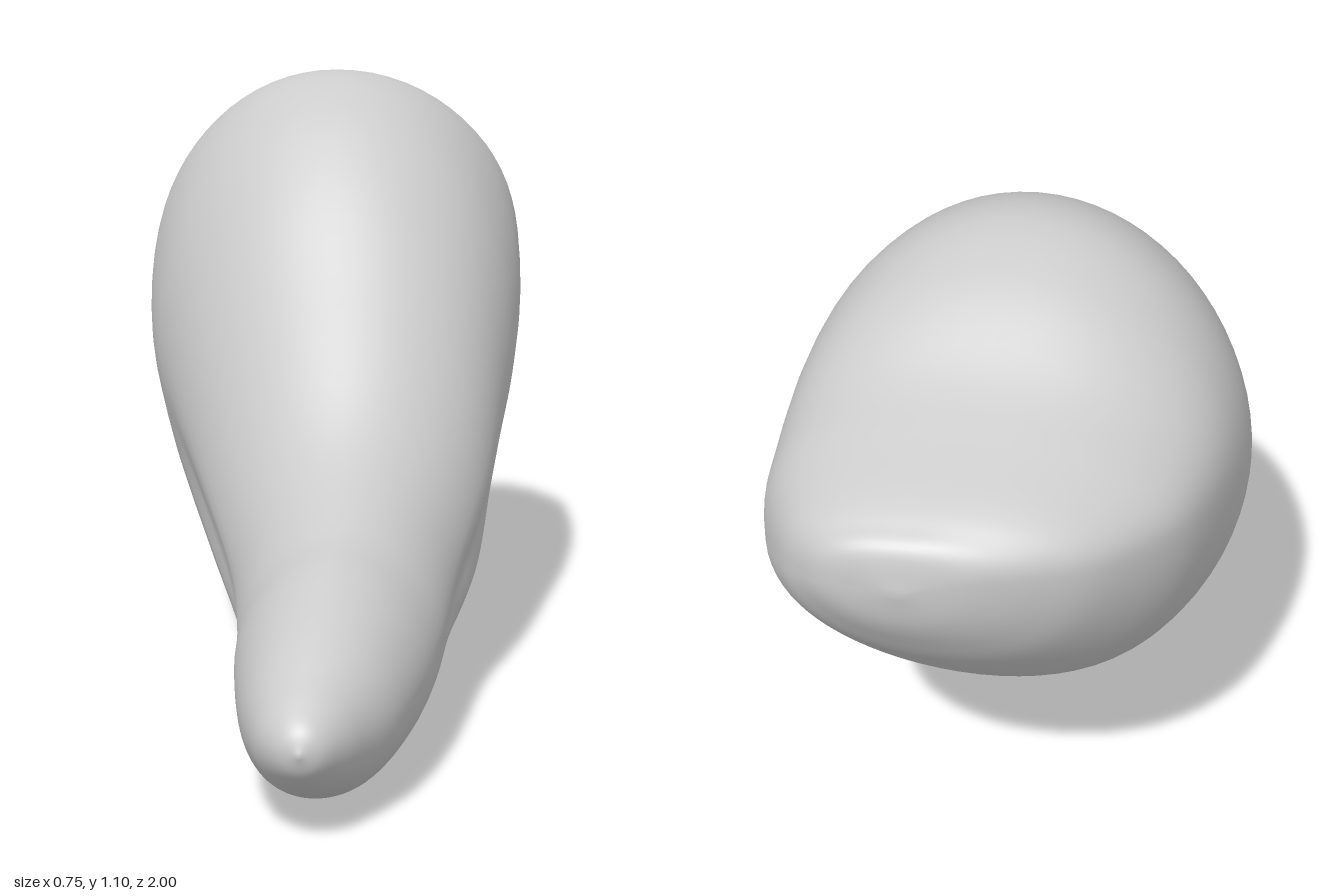
import * as THREE from 'three';
import { mergeVertices } from 'three/addons/utils/BufferGeometryUtils.js';

// Cross-section stations along the body: [z, yBottom, yTop, xMin, xMax]
const STATIONS = [
  [1.0, 0.15, 0.15, 0.065, 0.065],
  [0.985, 0.115, 0.185, 0.03, 0.1],
  [0.95, 0.085, 0.212, 0.0, 0.128],
  [0.9, 0.055, 0.24, -0.022, 0.155],
  [0.8, 0.02, 0.29, -0.05, 0.2],
  [0.65, 0.003, 0.343, -0.075, 0.235],
  [0.5, 0.0, 0.383, -0.09, 0.255],
  [0.3, 0.005, 0.485, -0.13, 0.275],
  [0.1, 0.035, 0.69, -0.21, 0.32],
  [-0.1, 0.085, 0.92, -0.295, 0.345],
  [-0.25, 0.14, 1.05, -0.35, 0.362],
  [-0.4, 0.205, 1.103, -0.375, 0.37],
  [-0.55, 0.29, 1.07, -0.365, 0.367],
  [-0.7, 0.395, 0.985, -0.33, 0.36],
  [-0.8, 0.485, 0.945, -0.285, 0.345],
  [-0.9, 0.595, 0.912, -0.2, 0.295],
  [-0.95, 0.665, 0.89, -0.12, 0.25],
  [-0.985, 0.73, 0.865, -0.02, 0.195],
  [-1.0, 0.8, 0.8, 0.09, 0.09],
];

const { lerp, smoothstep } = THREE.MathUtils;
const bell = (v, centre, width) => Math.exp(-(((v - centre) / width) ** 2));
const curve = (a, b) => new THREE.CatmullRomCurve3(
  STATIONS.map((s) => new THREE.Vector3(s[a], s[b], s[0])), false, 'catmullrom', 0.5);
const rounded = (v, exponent) => Math.sign(v) * Math.abs(v) ** (2 / exponent);

// Skin a smooth closed body over interpolated superelliptic sections
function bodyGeometry(rings = 108, sides = 72) {
  const heights = curve(1, 2);
  const widths = curve(3, 4);
  const positions = [];
  const index = [];
  for (let i = 0; i <= rings; i++) {
    const h = heights.getPoint(i / rings);
    const w = widths.getPoint(i / rings);
    const z = h.z;
    const crown = smoothstep(-z, 0.3, 0.8);
    // narrow spine on the root; flat crown top, squarest towards +x
    const spine = 0.2 * bell(z, 0.55, 0.3);
    const topLeft = 2 - spine + 0.8 * crown;
    const topRight = 2 - spine + 0.3 * crown;
    // swelling low on the +x flank
    const bottomLeft = 2 + 0.35 * bell(z, 0, 0.25);
    for (let j = 0; j < sides; j++) {
      const a = (j / sides) * Math.PI * 2;
      const c = Math.cos(a), s = Math.sin(a);
      const exponent = s > 0 ? (c > 0 ? topLeft : topRight) : (c > 0 ? bottomLeft : 2);
      const ex = rounded(c, exponent);
      const ey = rounded(s, exponent);
      // the crown's rim sits high on the -x side
      const equator = lerp(h.x, h.y, 0.5 + 0.15 * crown * Math.max(0, -ex) ** 2);
      // shallow groove running low along each flank
      const groove = 1 - 0.07 * bell(s, -0.2 + 0.25 * (z - 0.1), 0.14) * bell(z, 0.15, 0.28);
      positions.push(
        (w.x + w.y) / 2 + ((w.y - w.x) / 2) * ex * groove,
        equator + (s > 0 ? h.y - equator : equator - h.x) * ey,
        z);
      if (i < rings) {
        const k = (j + 1) % sides;
        const p = i * sides, q = p + sides;
        index.push(p + j, q + j, p + k, q + j, q + k, p + k);
      }
    }
  }
  const skin = new THREE.BufferGeometry();
  skin.setAttribute('position', new THREE.Float32BufferAttribute(positions, 3));
  skin.setIndex(index);
  const geometry = mergeVertices(skin, 1e-5); // closes the two poles
  geometry.computeVertexNormals();
  return geometry;
}

export function createModel() {
  const group = new THREE.Group();
  group.name = 'tooth';
  const body = new THREE.Mesh(
    bodyGeometry(),
    new THREE.MeshStandardMaterial({ color: 0xcccccc }));
  body.name = 'crownAndRoot';
  group.add(body);
  return group;
}
